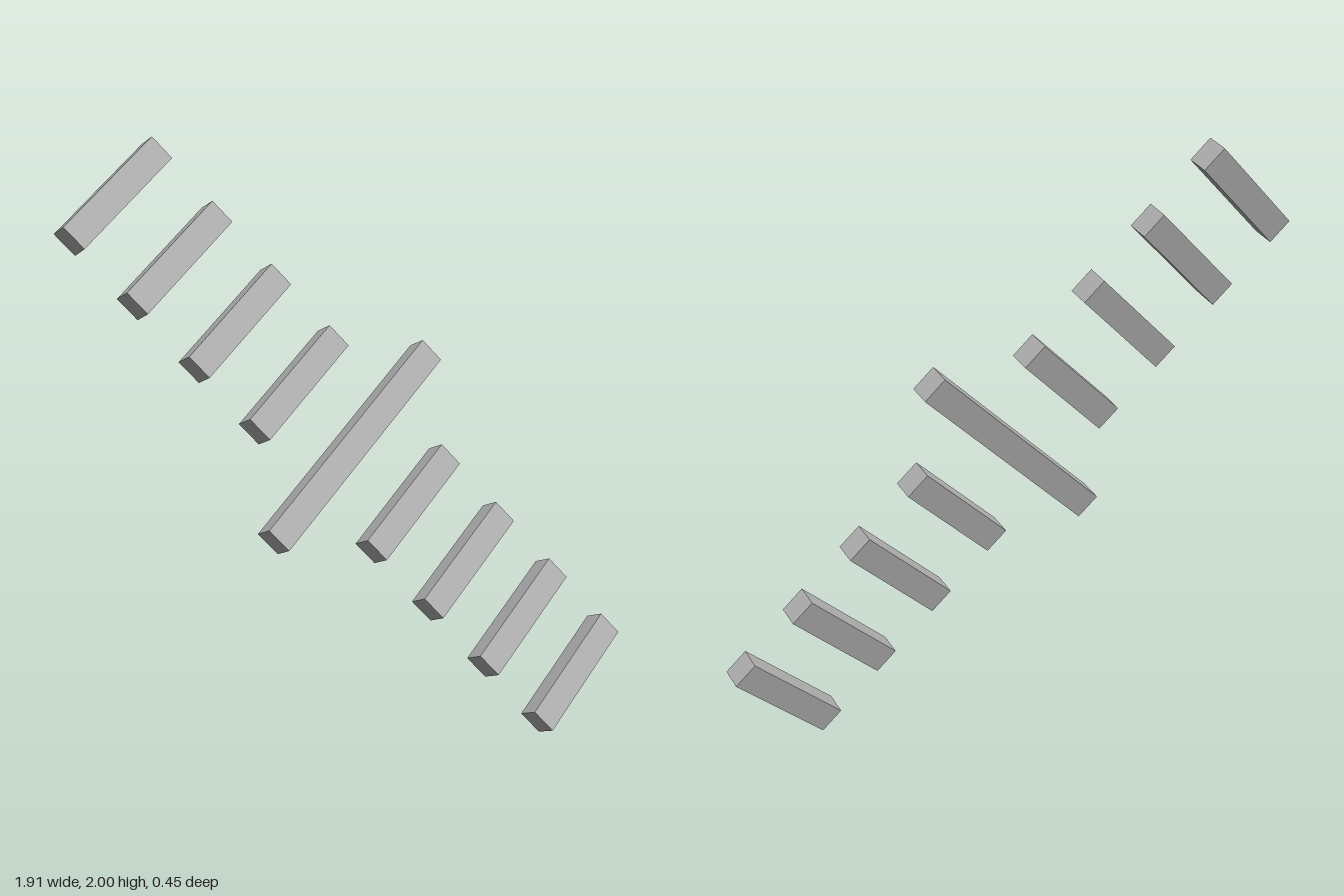
import * as THREE from 'three';

export function createModel() {
  const model = new THREE.Group();
  const grey = new THREE.MeshStandardMaterial({ color: 0xb4b4b4 });
  grey.name = 'plain grey';

  // Tilted frame: row runs along local x, bars along local y, thickness along local z
  const along = new THREE.Vector3(0.675, 0.608, -0.418).normalize();
  const row = new THREE.Vector3(0.681, -0.731, 0.038);
  row.addScaledVector(along, -row.dot(along)).normalize();
  const normal = new THREE.Vector3().crossVectors(row, along);

  const bars = new THREE.Group();
  bars.name = 'barRow';
  bars.quaternion.setFromRotationMatrix(new THREE.Matrix4().makeBasis(row, along, normal));
  bars.position.y = 1;
  model.add(bars);

  // Nine evenly spaced bars, the middle one twice as long
  const spacing = 0.279, width = 0.093, depth = 0.08;
  for (let i = -4; i <= 4; i++) {
    const length = i === 0 ? 0.9 : 0.45;
    const bar = new THREE.Mesh(new THREE.BoxGeometry(width, length, depth), grey);
    bar.name = i === 0 ? 'longCentreBar' : `shortBar${i < 0 ? i + 5 : i + 4}`;
    bar.position.x = i * spacing;
    bars.add(bar);
  }
  return model;
}
